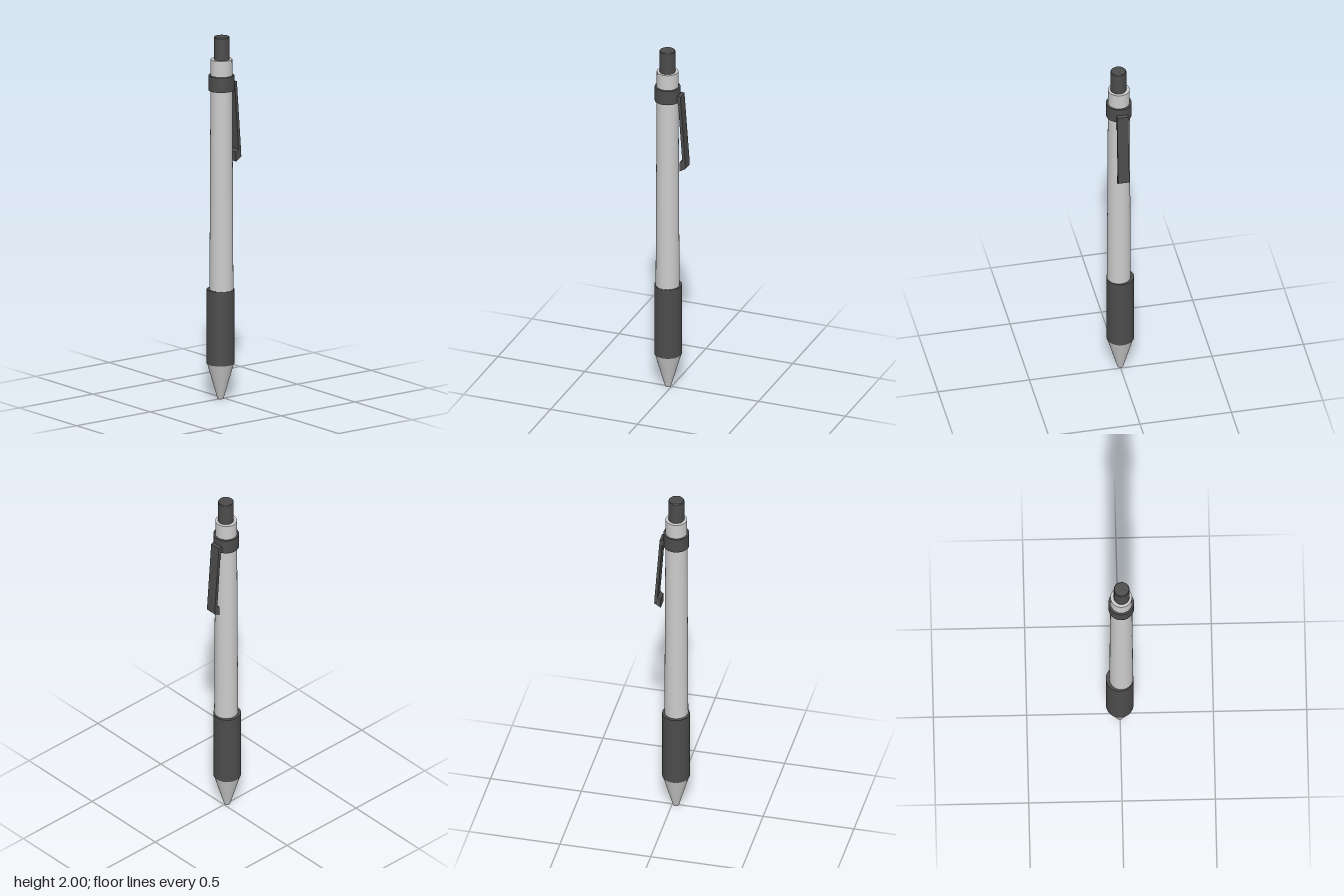
import * as THREE from 'three';

const AXIS_X = -0.021;

export function createModel() {
  const pen = new THREE.Group();
  pen.name = 'clickPen';
  const grey = new THREE.MeshStandardMaterial({ color: 0xcccccc });
  const dark = new THREE.MeshStandardMaterial({ color: 0x4c4c4c });

  // Round section between two heights, with its own radii and depth offset
  function section(name, y0, y1, r0, r1, z, material) {
    const mesh = new THREE.Mesh(new THREE.CylinderGeometry(r1, r0, y1 - y0, 48), material);
    mesh.name = name;
    mesh.position.set(AXIS_X, (y0 + y1) / 2, z);
    pen.add(mesh);
  }

  section('tip', 0, 0.195, 0.016, 0.072, -0.002, grey);
  section('grip', 0.195, 0.605, 0.074, 0.074, -0.002, dark);
  section('barrel', 0.6, 1.875, 0.064, 0.058, 0.006, grey);
  section('collar', 1.705, 1.787, 0.069, 0.069, 0.006, dark);
  section('button', 1.87, 1.996, 0.042, 0.042, 0.008, dark);
  section('buttonCap', 1.996, 2, 0.042, 0.039, 0.008, dark);

  // Clip: slanted strip with a foot turned in towards the barrel
  const profile = new THREE.Shape([
    [0.047, 1.75], [0.074, 1.368], [0.057, 1.355], [0.057, 1.303],
    [0.093, 1.325], [0.091, 1.365], [0.063, 1.745],
  ].map(([x, y]) => new THREE.Vector2(x, y)));
  const clip = new THREE.Mesh(
    new THREE.ExtrudeGeometry(profile, { depth: 0.061, bevelEnabled: false }), dark);
  clip.name = 'clip';
  clip.position.z = -0.028;
  pen.add(clip);

  // Short tab that fixes the clip to the collar
  const tab = new THREE.Mesh(new THREE.BoxGeometry(0.02, 0.035, 0.06), dark);
  tab.name = 'clipTab';
  tab.position.set(0.043, 1.728, 0.0025);
  pen.add(tab);

  return pen;
}
